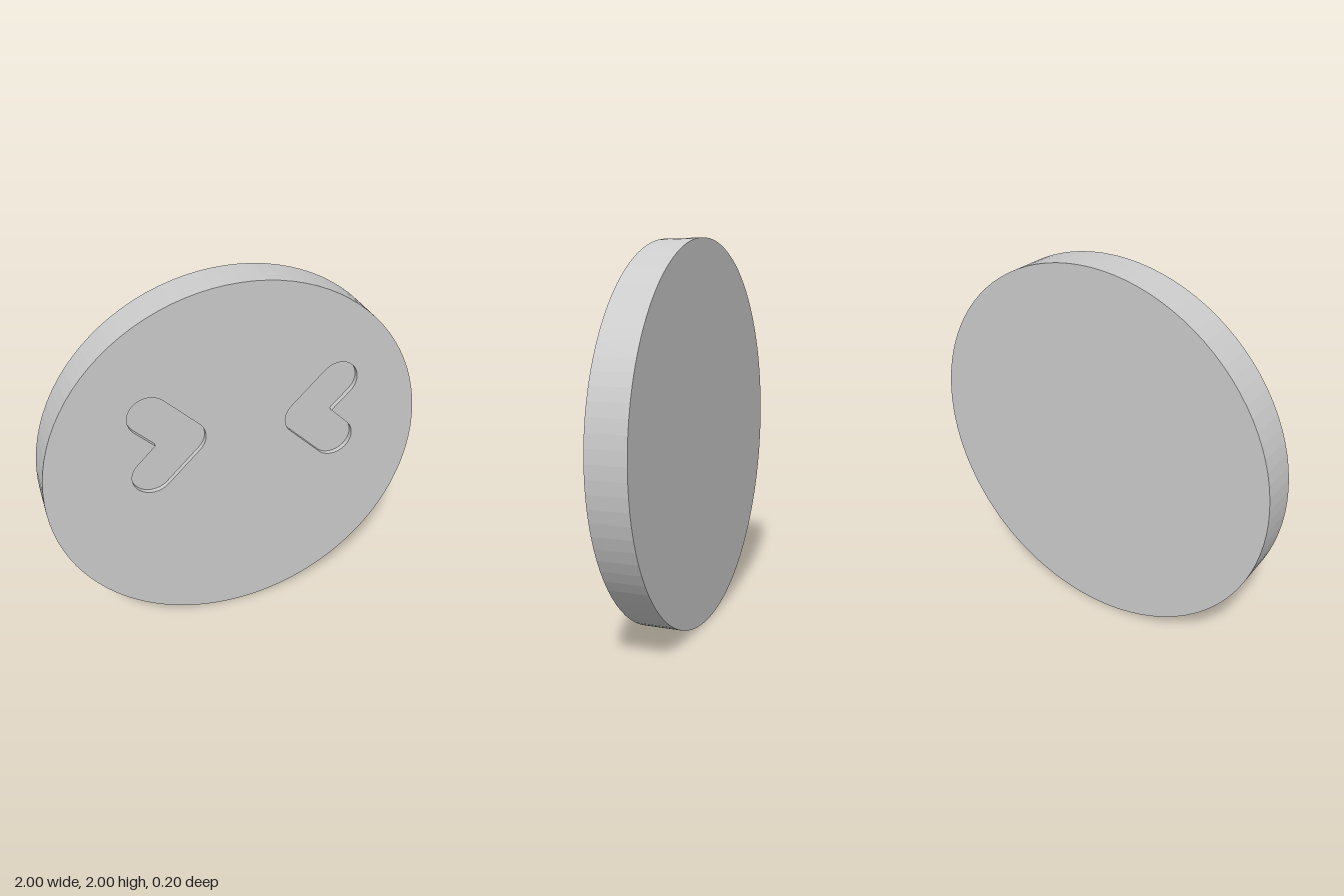
import * as THREE from 'three';

const HALF = 0.1, DEPTH = 0.025, SIDES = 96, CENTER_Y = 1;

// Counter-clockwise points along an arc, angles in degrees
function arc(cx, cy, r, from, to, n) {
  return Array.from({ length: n + 1 }, (_, i) => {
    const a = THREE.MathUtils.degToRad(from + ((to - from) * i) / n);
    return new THREE.Vector2(cx + r * Math.cos(a), cy + r * Math.sin(a));
  });
}

// Rounded chevron; dir = 1 points to +x, -1 to -x
function chevron(x, y, dir) {
  const r = 0.107, arm = 0.174;
  const pts = [
    ...arc(-arm, -arm, r, 135, 315, 20),
    ...arc(0, 0, r, -45, 45, 10),
    ...arc(-arm, arm, r, 45, 225, 20),
    new THREE.Vector2(-r * Math.SQRT2, 0),
  ].map((p) => new THREE.Vector2(x + dir * p.x, y + p.y));
  return dir > 0 ? pts : pts.reverse();
}

// Inward-facing wall strip around a counter-clockwise outline
function wallGeometry(pts, top, bottom) {
  const pos = [];
  pts.forEach((p, i) => {
    const q = pts[(i + 1) % pts.length];
    pos.push(p.x, p.y, top, q.x, q.y, top, p.x, p.y, bottom);
    pos.push(q.x, q.y, top, q.x, q.y, bottom, p.x, p.y, bottom);
  });
  const g = new THREE.BufferGeometry();
  g.setAttribute('position', new THREE.Float32BufferAttribute(pos, 3));
  g.computeVertexNormals();
  return g;
}

export function createModel() {
  const group = new THREE.Group();
  group.name = 'disc';
  const material = new THREE.MeshStandardMaterial({ color: 0xcccccc, flatShading: true });
  const add = (name, geometry) => {
    const mesh = new THREE.Mesh(geometry, material);
    mesh.name = name;
    group.add(mesh);
  };

  // Round edge and plain back
  const rim = new THREE.CylinderGeometry(1, 1, HALF * 2, SIDES, 1, true);
  add('rim', rim.rotateX(Math.PI / 2).translate(0, CENTER_Y, 0));
  const back = new THREE.CircleGeometry(1, SIDES);
  add('backFace', back.rotateY(Math.PI).translate(0, CENTER_Y, -HALF));

  // Front face, cut through by the two eye pockets
  const eyes = [
    ['rightEye', chevron(-0.282, 1.211, 1)],
    ['leftEye', chevron(0.355, 1.211, -1)],
  ];
  const face = new THREE.Shape(arc(0, CENTER_Y, 1, 0, 360, SIDES).slice(0, -1));
  face.holes = eyes.map(([, pts]) => new THREE.Path(pts));
  add('frontFace', new THREE.ShapeGeometry(face).translate(0, 0, HALF));

  // Shallow pocket floors and walls
  for (const [name, pts] of eyes) {
    add(name + 'Floor', new THREE.ShapeGeometry(new THREE.Shape(pts)).translate(0, 0, HALF - DEPTH));
    add(name + 'Wall', wallGeometry(pts, HALF, HALF - DEPTH));
  }
  return group;
}
